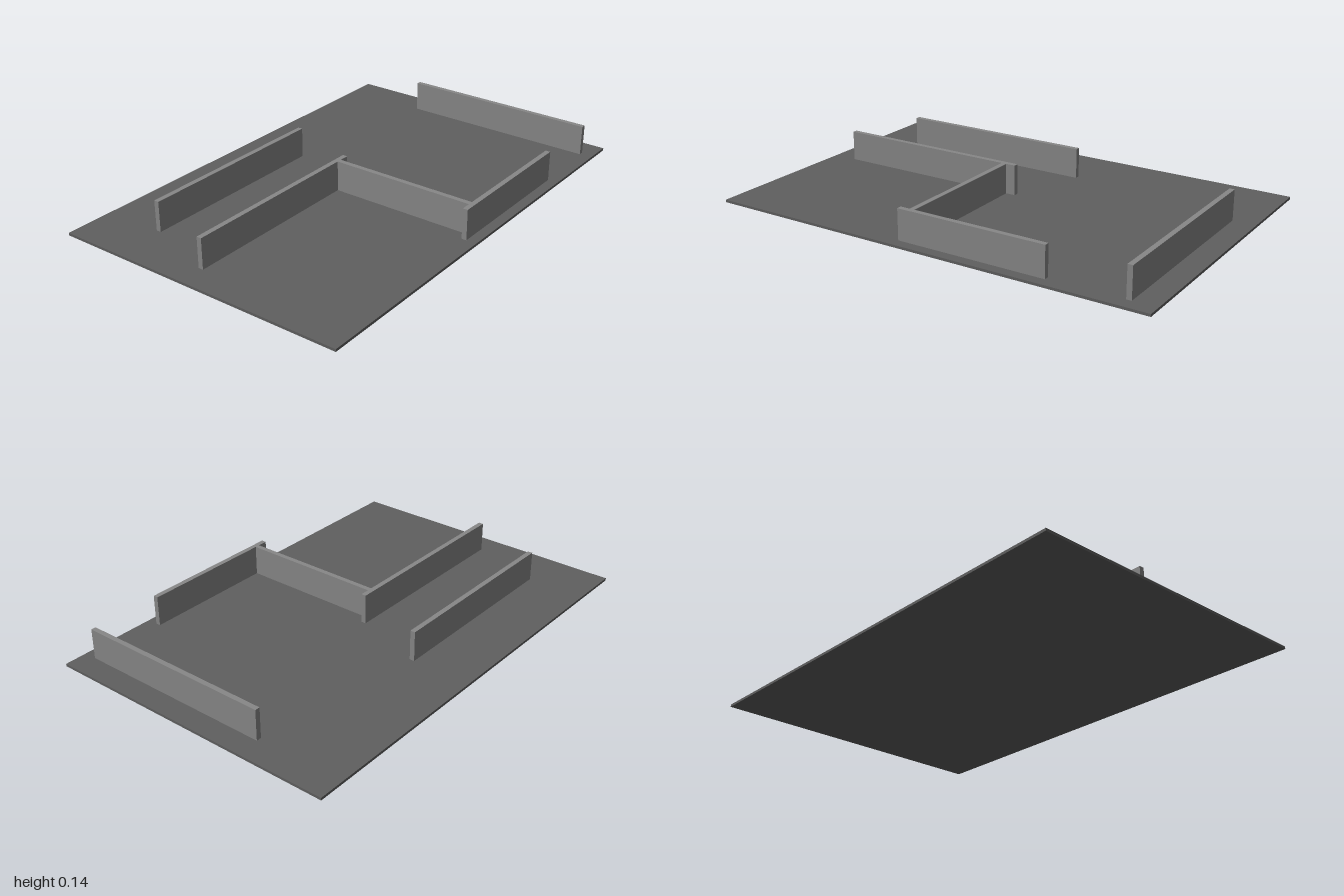
import * as THREE from 'three';

const FLOOR_TOP = 0.011;
const WALL_TOP = 0.145;

export function createModel() {
  const model = new THREE.Group();
  const floorMaterial = new THREE.MeshStandardMaterial({ color: 0x606060 });
  const wallMaterial = new THREE.MeshStandardMaterial({ color: 0x888888 });

  // Box given by its extents along each axis
  function addBox(name, [x0, x1], [y0, y1], [z0, z1], material) {
    const mesh = new THREE.Mesh(new THREE.BoxGeometry(x1 - x0, y1 - y0, z1 - z0), material);
    mesh.position.set((x0 + x1) / 2, (y0 + y1) / 2, (z0 + z1) / 2);
    mesh.name = name;
    model.add(mesh);
  }

  // Thin floor slab
  addBox('floor', [-0.667, 0.667], [0, FLOOR_TOP], [-1, 1], floorMaterial);

  // Low upright walls: name, x extent, z extent
  const walls = [
    ['backWall', [-0.278, 0.611], [-0.899, -0.877]],
    ['leftWall', [0.6, 0.622], [-0.556, 0.109]],
    ['crossWall', [-0.045, 0.6], [0.043, 0.065]],
    ['middleWall', [-0.067, -0.045], [0, 0.889]],
    ['rightWall', [-0.403, -0.381], [-0.111, 0.777]],
  ];
  for (const [name, x, z] of walls) addBox(name, x, [FLOOR_TOP, WALL_TOP], z, wallMaterial);

  return model;
}
